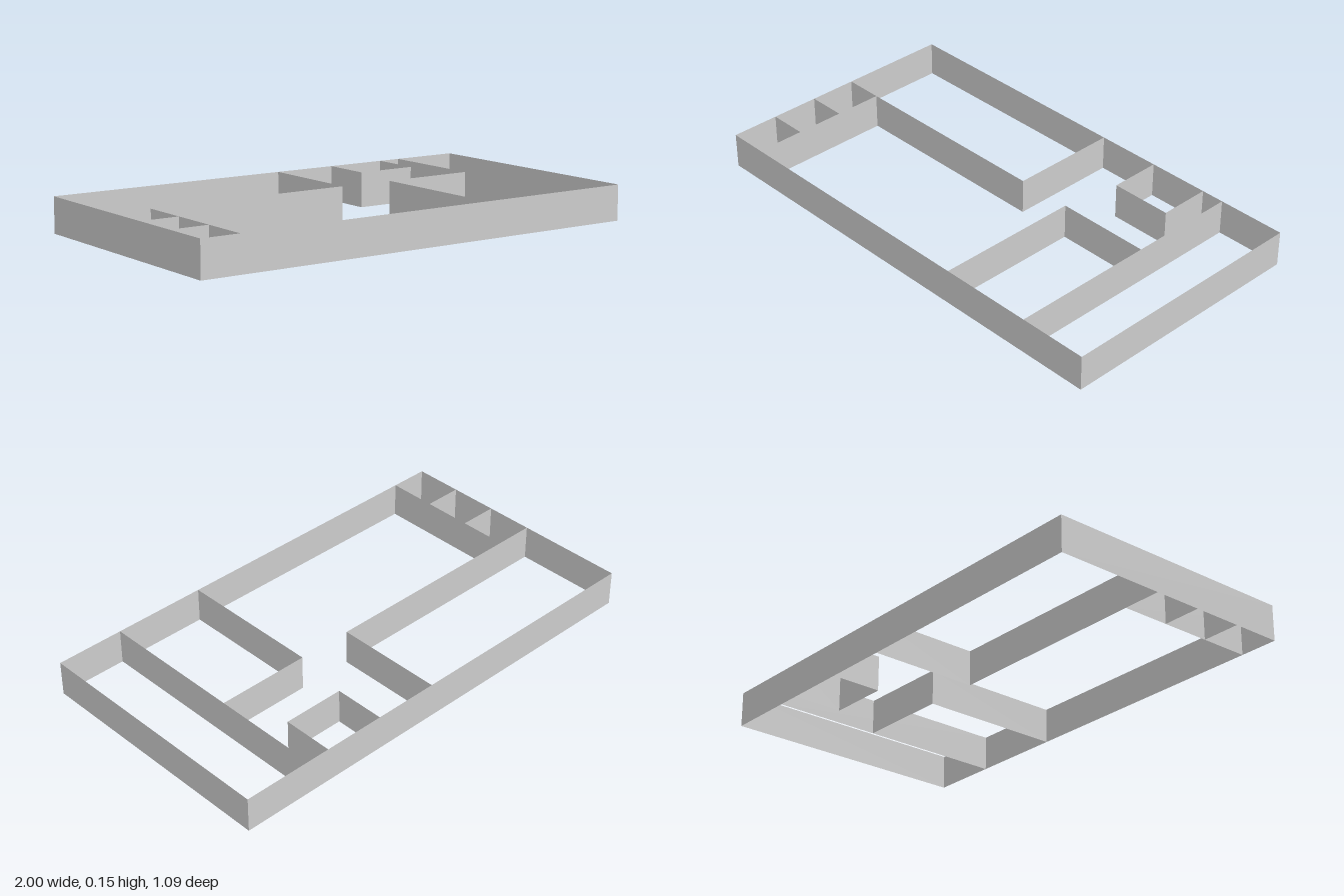
import * as THREE from 'three';

const HEIGHT = 0.15;
const X = 1, Z = 0.545;

export function createModel() {
  const model = new THREE.Group();
  const material = new THREE.MeshStandardMaterial({ color: 0xcccccc, side: THREE.DoubleSide, flatShading: true });

  // A run of paper-thin upright walls through a list of [x, z] floor points
  function wallRun(name, points) {
    const group = new THREE.Group();
    group.name = name;
    for (let i = 1; i < points.length; i++) {
      const [x0, z0] = points[i - 1], [x1, z1] = points[i];
      const dx = x1 - x0, dz = z1 - z0;
      const wall = new THREE.Mesh(new THREE.PlaneGeometry(Math.hypot(dx, dz), HEIGHT), material);
      wall.name = name + 'Panel' + i;
      wall.position.set((x0 + x1) / 2, HEIGHT / 2, (z0 + z1) / 2);
      wall.rotation.y = Math.atan2(-dz, dx);
      group.add(wall);
    }
    model.add(group);
  }

  // Perimeter, counter-clockwise seen from above so the panels face outward
  wallRun('outerWall', [[-X, Z], [X, Z], [X, -Z], [-X, -Z], [-X, Z]]);

  // Large room in the back right corner
  wallRun('backRoomWall', [[-X, -0.078], [0.064, -0.078], [0.064, -Z]]);

  // Row of small cubicles along the right end
  wallRun('cubicleFront', [[-0.834, -0.078], [-0.834, Z]]);
  for (const z of [0.128, 0.337]) wallRun('cubicleDivider', [[-X, z], [-0.834, z]]);

  // Full-depth wall closing off the left end room
  wallRun('endRoomWall', [[0.706, -Z], [0.706, Z]]);

  // Front room against the end room wall
  wallRun('frontRoomWall', [[0.302, Z], [0.302, -0.078], [0.706, -0.078]]);

  // Closet on the back wall
  wallRun('closetWall', [[0.342, -Z], [0.342, -0.326], [0.607, -0.326], [0.607, -Z]]);

  return model;
}
